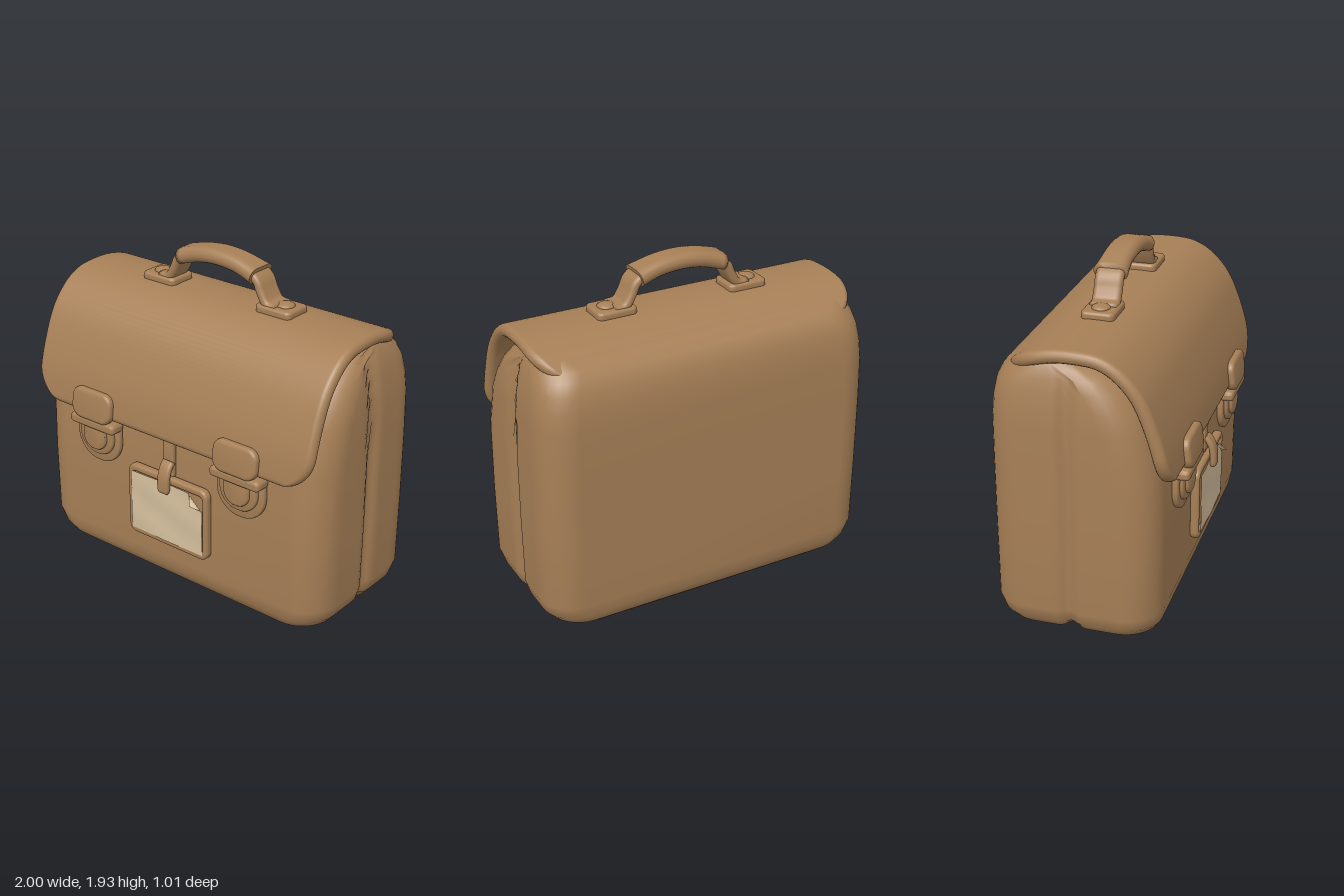
import * as THREE from 'three';
import { toCreasedNormals } from 'three/addons/utils/BufferGeometryUtils.js';

const leather = new THREE.MeshStandardMaterial({ color: 0xa67f56 });
leather.name = 'brown leather';
const paperMat = new THREE.MeshStandardMaterial({ color: 0xd6c09e, side: THREE.DoubleSide });
paperMat.name = 'cream paper';

function add(parent, name, geometry, material = leather) {
  const mesh = new THREE.Mesh(geometry, material);
  mesh.name = name;
  parent.add(mesh);
  return mesh;
}

// Closed skin over a list of equal-length loops, capped at both ends
function loft(rings) {
  const n = rings[0].length, m = rings.length, pos = [], idx = [];
  rings.forEach(r => r.forEach(p => pos.push(p.x, p.y, p.z)));
  for (const r of [rings[0], rings[m - 1]]) {
    const c = r.reduce((a, p) => a.add(p), new THREE.Vector3()).divideScalar(n);
    pos.push(c.x, c.y, c.z);
  }
  for (let j = 0; j < n; j++) {
    const k = (j + 1) % n;
    for (let i = 0; i < m - 1; i++) {
      const a = i * n + j, b = i * n + k;
      idx.push(a, b, a + n, b, b + n, a + n);
    }
    idx.push(m * n, k, j, m * n + 1, (m - 1) * n + j, (m - 1) * n + k);
  }
  // Turn the faces outward
  let volume = 0;
  const P = i => new THREE.Vector3().fromArray(pos, i * 3);
  for (let i = 0; i < idx.length; i += 3) volume += P(idx[i]).dot(P(idx[i + 1]).cross(P(idx[i + 2])));
  if (volume < 0) idx.reverse();
  const g = new THREE.BufferGeometry();
  g.setAttribute('position', new THREE.Float32BufferAttribute(pos, 3));
  g.setIndex(idx);
  g.computeVertexNormals();
  return g;
}

// Strap with rounded edges along a flat path; place(a, b, c) maps path plane and width to space
function strap(points, steps, size, place) {
  const curve = new THREE.SplineCurve(points.map(p => new THREE.Vector2(...p)));
  const length = curve.getLength(), rings = [];
  for (let i = 0; i <= steps; i++) {
    const u = 1 - (1 - i / steps) ** 1.5;
    const p = curve.getPointAt(u), t = curve.getTangentAt(u);
    const [w, h] = size(u, u * length, (1 - u) * length);
    const ring = [];
    for (const side of [1, -1]) {
      for (let k = 0; k <= 8; k++) {
        const a = (k / 8 - 0.5) * Math.PI + (side < 0 ? Math.PI : 0);
        const c = side * (w - h) + h * Math.cos(a), o = h * Math.sin(a);
        ring.push(place(p.x - t.y * o, p.y + t.x * o, c));
      }
    }
    rings.push(ring);
  }
  return loft(rings);
}
const roundEnd = (d, r) => d < r ? Math.sqrt(Math.max(0, 1 - (1 - d / r) ** 2)) : 1;

// Rounded rectangle around the origin with separate top and bottom radii
function rounded(w, h, top, bottom) {
  const x = w / 2, y = h / 2, s = new THREE.Shape();
  s.moveTo(-x + bottom, -y);
  s.lineTo(x - bottom, -y);
  s.absarc(x - bottom, -y + bottom, bottom, -Math.PI / 2, 0);
  s.absarc(x - top, y - top, top, 0, Math.PI / 2);
  s.absarc(-x + top, y - top, top, Math.PI / 2, Math.PI);
  s.absarc(-x + bottom, -y + bottom, bottom, Math.PI, Math.PI * 1.5);
  return s;
}

// Flat piece with softened edges, back face at z = 0
function plate(shape, depth, bevel) {
  const g = new THREE.ExtrudeGeometry(shape, {
    depth: depth - 2 * bevel, bevelSize: bevel, bevelThickness: bevel,
    bevelOffset: -bevel, bevelSegments: 4, curveSegments: 12,
  });
  g.translate(0, 0, bevel);
  return toCreasedNormals(g, 0.7);
}

// Padded body: rounded outlines stacked in y, pinched along the middle seam
function bodyGeometry() {
  const rows = [ // y, half width, back, front
    [0, 0.55, -0.3, 0.18], [0.01, 0.72, -0.37, 0.26], [0.03, 0.85, -0.42, 0.32],
    [0.07, 0.93, -0.465, 0.37], [0.12, 0.97, -0.485, 0.395], [0.2, 0.995, -0.5, 0.41],
    [0.6, 1, -0.5, 0.41], [1, 1, -0.5, 0.4], [1.25, 0.995, -0.5, 0.34],
    [1.36, 0.985, -0.492, 0.29], [1.45, 0.97, -0.475, 0.23], [1.51, 0.955, -0.445, 0.17],
    [1.55, 0.94, -0.41, 0.1], [1.59, 0.92, -0.35, -0.02], [1.625, 0.89, -0.27, -0.1],
    [1.635, 0.8, -0.2, -0.14],
  ];
  return loft(rows.map(([y, w, b, f]) => {
    const r = Math.min(0.19, (f - b) * 0.4), ring = [];
    const point = (x, z) => {
      const pinch = Math.exp(-(((z + 0.06) / 0.035) ** 2));
      const lift = y < 0.1 ? 0.035 * pinch : 0;
      ring.push(new THREE.Vector3(x - Math.sign(x) * 0.03 * pinch * Math.min(1, Math.abs(x)), y + lift, z));
    };
    const corner = (cx, cz, start) => {
      for (let k = 0; k <= 8; k++) {
        const a = start + (k / 8) * Math.PI / 2;
        point(cx + r * Math.cos(a), cz + r * Math.sin(a));
      }
    };
    const side = (x, z0, z1) => {
      for (let k = 1; k < 24; k++) point(x, z0 + (z1 - z0) * k / 24);
    };
    corner(w - r, f - r, 0);
    corner(-w + r, f - r, Math.PI / 2);
    side(-w, f - r, b + r);
    corner(-w + r, b + r, Math.PI);
    corner(w - r, b + r, Math.PI * 1.5);
    side(w, b + r, f - r);
    return ring;
  }));
}

// Buckle made of a flap tab, a cross bar and a stepped catch
function buckle(x) {
  const g = new THREE.Group();
  g.name = 'buckle';
  g.position.x = x;
  const tab = add(g, 'buckleTab', plate(rounded(0.29, 0.18, 0.06, 0.07), 0.06, 0.02));
  tab.position.set(0, 1.025, 0.44);
  tab.rotation.x = -0.12;
  add(g, 'buckleBar', plate(rounded(0.33, 0.06, 0.025, 0.025), 0.1, 0.02)).position.set(0, 0.92, 0.4);
  const steps = [[0.32, 0.25, 0.795, 0.035], [0.25, 0.2, 0.82, 0.055], [0.165, 0.15, 0.83, 0.075]];
  for (const [w, h, y, d] of steps) {
    add(g, 'buckleCatch', plate(rounded(w, h, 0.02, w * 0.47), d, 0.012)).position.set(0, y, 0.405);
  }
  return g;
}

// Paper sheet with slight waves and a folded top corner
function paperGeometry() {
  const g = new THREE.PlaneGeometry(0.51, 0.365, 30, 24), p = g.attributes.position;
  for (let i = 0; i < p.count; i++) {
    let x = p.getX(i), y = p.getY(i);
    let z = 0.004 * Math.sin(x * 14 + y * 9) * Math.cos(y * 17 - x * 5);
    const d = (x + y - 0.35) / Math.SQRT2;
    if (d > 0) {
      x -= d * 0.9;
      y -= d * 0.9;
      z += d * 0.6;
    }
    p.setXYZ(i, x, y, z);
  }
  g.computeVertexNormals();
  return g;
}

export function createModel() {
  const bag = new THREE.Group();
  bag.name = 'satchel';
  add(bag, 'body', bodyGeometry());

  // Flap folding from the back over the top to the front
  const flapPath = [[-0.39, 1.49], [-0.3, 1.575], [-0.15, 1.624], [0.03, 1.627], [0.13, 1.603],
    [0.22, 1.54], [0.3, 1.44], [0.365, 1.29], [0.415, 1.12], [0.438, 0.957]];
  add(bag, 'flap', strap(flapPath, 60, (u, fromStart, toEnd) => [
    0.96 - 0.2 * (1 - roundEnd(toEnd, 0.2)) - 0.2 * (1 - roundEnd(fromStart, 0.25)),
    Math.max(0.004, 0.037 * roundEnd(toEnd, 0.037)),
  ], (z, y, x) => new THREE.Vector3(x, y, z)));

  // Carrying handle
  const handle = new THREE.Group();
  handle.name = 'handle';
  handle.position.z = -0.045;
  bag.add(handle);
  const across = (x, y, z) => new THREE.Vector3(x, y, z);
  const half = [[0.4, 1.69], [0.34, 1.7], [0.3, 1.76], [0.27, 1.82], [0.2, 1.86], [0.1, 1.88]];
  for (const s of [1, -1]) {
    add(handle, 'handleStrap', strap(half.map(([x, y]) => [s * x, y]), 28, () => [0.078, 0.026], across));
    const foot = add(handle, 'handleFoot', plate(rounded(0.23, 0.18, 0.03, 0.03), 0.05, 0.015));
    foot.rotation.x = -Math.PI / 2;
    foot.position.set(s * 0.395, 1.652, 0);
    const rivet = add(handle, 'rivet', new THREE.SphereGeometry(0.05, 20, 12));
    rivet.scale.y = 0.4;
    rivet.position.set(s * 0.425, 1.703, 0);
  }
  const grip = [[-0.255, 1.838], [-0.13, 1.873], [0, 1.885], [0.13, 1.873], [0.255, 1.838]];
  add(handle, 'grip', strap(grip, 32, u => {
    const flare = Math.abs(2 * u - 1) ** 4;
    return [0.083 + 0.012 * flare, 0.045];
  }, across));

  bag.add(buckle(-0.51), buckle(0.507));

  // Hanging label with its loop
  const label = new THREE.Group();
  label.name = 'label';
  bag.add(label);
  const frameShape = rounded(0.57, 0.435, 0.05, 0.05);
  frameShape.holes.push(rounded(0.5, 0.35, 0.02, 0.02));
  add(label, 'labelFrame', plate(frameShape, 0.05, 0.015)).position.set(0.01, 0.527, 0.408);
  add(label, 'labelBacking', plate(rounded(0.54, 0.4, 0.03, 0.03), 0.03, 0.005)).position.set(0.01, 0.527, 0.408);
  add(label, 'labelPaper', paperGeometry(), paperMat).position.set(0.01, 0.525, 0.462);
  add(label, 'labelStrap', plate(rounded(0.075, 0.24, 0.01, 0.01), 0.03, 0.008)).position.set(0, 0.86, 0.4);
  add(label, 'labelLoop', strap([[0.425, 0.83], [0.452, 0.8], [0.472, 0.74], [0.474, 0.65]], 20,
    (u, fromStart, toEnd) => [0.04 * (0.55 + 0.45 * roundEnd(toEnd, 0.035)), 0.018 * Math.max(0.2, roundEnd(toEnd, 0.02))],
    (z, y, x) => new THREE.Vector3(x + 0.005, y, z)));
  return bag;
}
